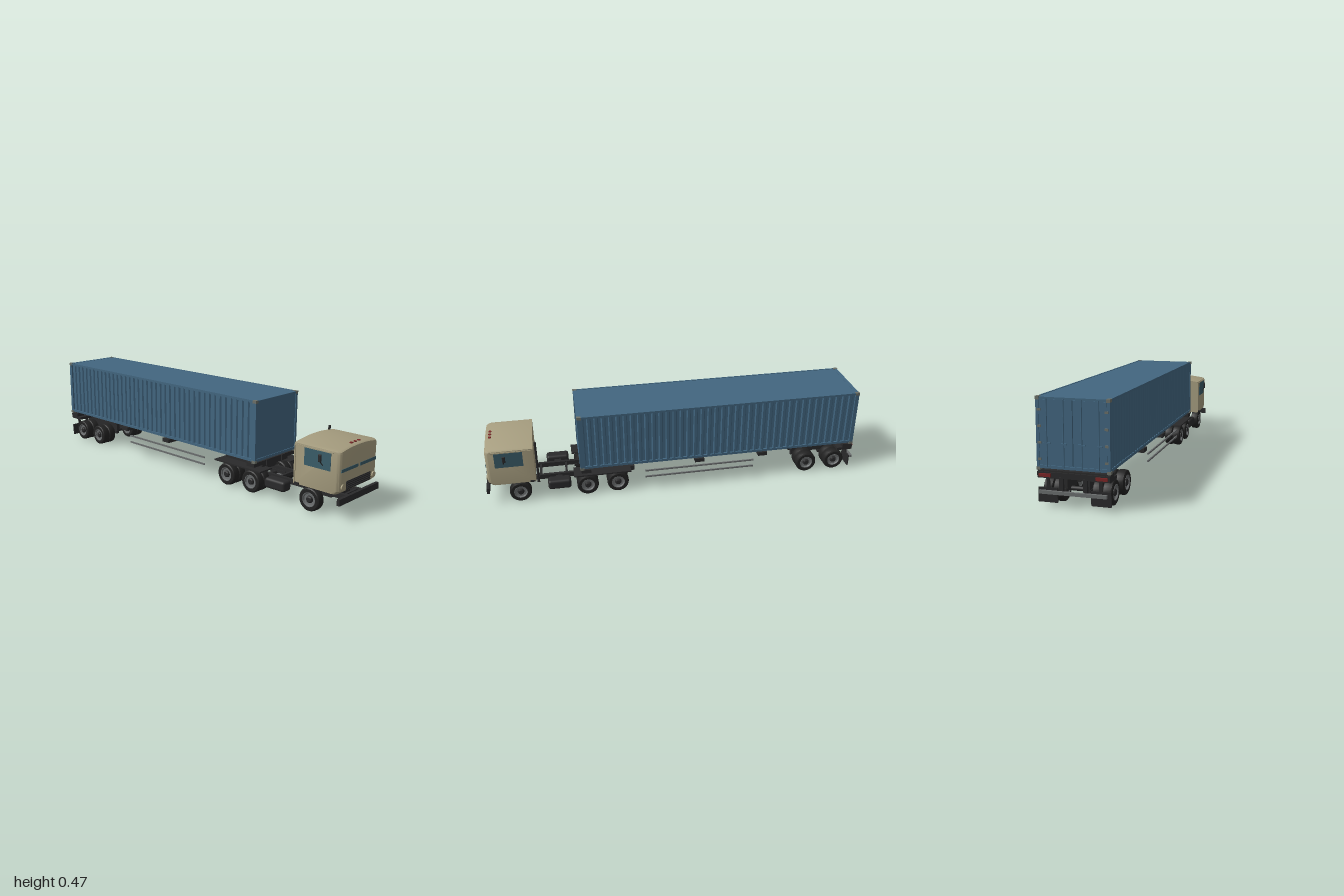
import * as THREE from 'three';
import { toCreasedNormals } from 'three/addons/utils/BufferGeometryUtils.js';
import { RoundedBoxGeometry } from 'three/addons/geometries/RoundedBoxGeometry.js';

export function createModel() {
  const root = new THREE.Group();
  root.name = 'containerTruck';
  const mat = (name, color) => {
    const m = new THREE.MeshStandardMaterial({ color });
    m.name = name;
    return m;
  };
  const blue = mat('containerBlue', 0x426680);
  const cream = mat('cabCream', 0xa69d7f);
  const dark = mat('chassisBlack', 0x2a2a2b);
  const rubber = mat('tyreRubber', 0x222222);
  const steel = mat('rimSteel', 0x6a6d6e);
  const casting = mat('castingGrey', 0x6c7068);
  const glass = mat('glass', 0x3a5c68);
  const red = mat('lampRed', 0x7a2626);

  const group = (name) => {
    const g = new THREE.Group();
    g.name = name;
    root.add(g);
    return g;
  };
  const add = (parent, name, geo, m) => {
    const mesh = new THREE.Mesh(geo, m);
    mesh.name = name;
    parent.add(mesh);
    return mesh;
  };
  // Box given by its extents along x, y and z
  const box = (parent, name, m, x0, x1, y0, y1, z0, z1) => {
    const mesh = add(parent, name, new THREE.BoxGeometry(x1 - x0, y1 - y0, z1 - z0), m);
    mesh.position.set((x0 + x1) / 2, (y0 + y1) / 2, (z0 + z1) / 2);
    return mesh;
  };
  // The same box on both sides
  const pair = (parent, name, m, x0, x1, ...r) => {
    box(parent, name + 'Left', m, x0, x1, ...r);
    box(parent, name + 'Right', m, -x1, -x0, ...r);
  };
  const rod = (parent, name, m, a, b, r, sides = 10) => {
    const path = new THREE.LineCurve3(new THREE.Vector3(...a), new THREE.Vector3(...b));
    const mid = path.getPoint(0.5), dir = path.getTangent(0);
    const mesh = add(parent, name, new THREE.CylinderGeometry(r, r, path.getLength(), sides), m);
    mesh.position.copy(mid);
    mesh.quaternion.setFromUnitVectors(new THREE.Vector3(0, 1, 0), dir);
  };

  // Container: corrugated plan extruded upward
  const container = group('container');
  const ZF = 0.515, ZR = -0.985;
  const side = [];
  const n = 40, step = (ZF - ZR - 0.03) / n;
  for (let i = 0; i < n; i++) {
    const s = -ZF + 0.015 + i * step;
    side.push([0.161, s], [0.161, s + step * 0.35], [0.154, s + step * 0.5], [0.154, s + step * 0.85]);
  }
  const plan = new THREE.Shape([
    ...side.map(([x, s]) => new THREE.Vector2(x, s)),
    ...side.slice().reverse().map(([x, s]) => new THREE.Vector2(-x, s)),
  ]);
  const walls = new THREE.ExtrudeGeometry(plan, { depth: 0.288, bevelEnabled: false });
  walls.rotateX(-Math.PI / 2);
  add(container, 'corrugatedWalls', walls, blue).position.y = 0.172;
  box(container, 'roof', blue, -0.158, 0.158, 0.455, 0.467, ZR + 0.004, ZF - 0.004);
  box(container, 'frontWall', blue, -0.15, 0.15, 0.17, 0.463, ZF - 0.02, ZF - 0.004);
  pair(container, 'topRail', blue, 0.156, 0.163, 0.459, 0.469, ZR, ZF);
  pair(container, 'bottomRail', blue, 0.154, 0.163, 0.165, 0.178, ZR, ZF);
  for (const [end, z0, z1] of [['front', ZF - 0.02, ZF], ['rear', ZR, ZR + 0.02]]) {
    pair(container, end + 'Post', blue, 0.15, 0.163, 0.168, 0.465, z0, z1);
    box(container, end + 'Header', blue, -0.15, 0.15, 0.458, 0.468, z0, z1);
    box(container, end + 'Sill', blue, -0.15, 0.15, 0.165, 0.178, z0, z1);
    for (const y of [0.157, 0.456])
      pair(container, end + 'Casting', casting, 0.148, 0.165, y, y + 0.014, z0 - 0.001, z1 + 0.001);
  }
  // Rear doors with locking rods and hinges
  pair(container, 'door', blue, 0.002, 0.149, 0.179, 0.457, ZR + 0.002, ZR + 0.012);
  for (const x of [-0.115, -0.04, 0.04, 0.115]) {
    rod(container, 'lockRod', blue, [x, 0.172, ZR - 0.001], [x, 0.462, ZR - 0.001], 0.003, 8);
    box(container, 'rodHandle', blue, x - 0.015, x + 0.015, 0.27, 0.276, ZR - 0.004, ZR + 0.002);
  }
  for (const y of [0.2, 0.27, 0.34, 0.41])
    pair(container, 'hinge', casting, 0.141, 0.156, y, y + 0.01, ZR - 0.003, ZR + 0.003);

  // Trailer frame
  const trailer = group('trailer');
  pair(trailer, 'mainBeam', dark, 0.048, 0.07, 0.128, 0.158, ZR + 0.005, ZF);
  for (const z of [0.485, -0.12, -0.47, -0.955])
    box(trailer, 'bolster', dark, -0.162, 0.162, 0.137, 0.157, z - 0.025, z + 0.025);
  for (let z = 0.35; z > -0.9; z -= 0.15)
    box(trailer, 'crossMember', dark, -0.05, 0.05, 0.135, 0.157, z - 0.008, z + 0.008);
  pair(trailer, 'outerRail', dark, 0.085, 0.1, 0.143, 0.157, ZR + 0.01, ZF - 0.01);
  box(trailer, 'kingpinPlate', dark, -0.1, 0.1, 0.125, 0.137, 0.27, 0.51);
  pair(trailer, 'bogieBeam', dark, 0.04, 0.06, 0.075, 0.13, -0.95, -0.67);
  pair(trailer, 'rearWing', dark, 0.065, 0.162, 0.122, 0.137, -0.98, -0.9);
  // Side guards
  for (const y of [0.078, 0.115])
    pair(trailer, 'guardRail', steel, 0.156, 0.163, y - 0.004, y + 0.004, -0.42, 0.175);
  // Rear bumper, flaps and lamps
  box(trailer, 'lampBoard', dark, -0.162, 0.162, 0.125, 0.15, -0.986, -0.975);
  pair(trailer, 'tailLamp', red, 0.1, 0.152, 0.13, 0.144, -0.993, -0.985);
  box(trailer, 'rearBumper', steel, -0.15, 0.15, 0.058, 0.073, -1.0, -0.988);
  pair(trailer, 'bumperStrut', dark, 0.045, 0.062, 0.058, 0.13, -0.989, -0.975);
  pair(trailer, 'mudFlap', dark, 0.075, 0.163, 0.016, 0.08, -0.977, -0.971);
  pair(trailer, 'flapHanger', dark, 0.11, 0.125, 0.08, 0.13, -0.977, -0.971);

  // Tractor chassis
  const tractor = group('tractorChassis');
  pair(tractor, 'frameRail', dark, 0.05, 0.066, 0.067, 0.092, 0.22, 0.985);
  for (const z of [0.23, 0.4, 0.585, 0.72, 0.95])
    box(tractor, 'crossMember', dark, -0.052, 0.052, 0.072, 0.088, z - 0.006, z + 0.006);
  box(tractor, 'engine', dark, -0.045, 0.045, 0.07, 0.125, 0.76, 0.92);
  box(tractor, 'frontBumper', dark, -0.163, 0.163, 0.073, 0.104, 0.985, 1.0);
  box(tractor, 'fifthWheel', dark, -0.065, 0.065, 0.09, 0.125, 0.33, 0.47);
  pair(tractor, 'rearFender', dark, 0.075, 0.164, 0.119, 0.126, 0.25, 0.55);
  for (const s of [-1, 1]) {
    const tank = add(tractor, 'fuelTank', new RoundedBoxGeometry(0.06, 0.052, 0.12, 3, 0.014), dark);
    tank.position.set(s * 0.125, 0.076, 0.627);
    box(tractor, 'tankBracket', dark, s * 0.08 - 0.025, s * 0.08 + 0.025, 0.07, 0.084, 0.61, 0.645);
    // Curved guard above the steering wheel
    const guard = new THREE.CylinderGeometry(0.066, 0.066, 0.045, 16, 1, true, Math.PI * 0.15, Math.PI * 0.7);
    guard.rotateZ(Math.PI / 2);
    const gm = add(tractor, 'frontFender', guard, dark);
    gm.position.set(s * 0.132, 0.057, 0.83);
    gm.visible = false;
  }
  rod(tractor, 'exhaustStack', dark, [0.133, 0.1, 0.733], [0.133, 0.336, 0.733], 0.006, 12);
  box(tractor, 'exhaustBracket', dark, 0.06, 0.135, 0.095, 0.105, 0.727, 0.74);

  // Wheels: tyre, rim and hub turned about the axle
  const lathe = (pts, seg = 28) =>
    toCreasedNormals(new THREE.LatheGeometry(pts.map(([r, y]) => new THREE.Vector2(r, y)), seg), 0.6);
  const tyreGeo = lathe([[0.034, -0.021], [0.05, -0.0215], [0.055, -0.018], [0.057, -0.011],
    [0.057, 0.011], [0.055, 0.018], [0.05, 0.0215], [0.034, 0.021], [0.032, 0.01]]);
  const rimGeo = lathe([[0, -0.016], [0.033, -0.019], [0.035, -0.022], [0.035, 0.022], [0.032, 0.022],
    [0.029, 0.014], [0.018, 0.012], [0, 0.012]]);
  const hubGeo = lathe([[0.018, 0.011], [0.016, 0.019], [0.011, 0.023], [0, 0.023]], 16);
  const wheels = group('wheels');
  const wheel = (x, z) => {
    const w = new THREE.Group();
    w.name = 'wheel';
    add(w, 'tyre', tyreGeo, rubber);
    add(w, 'rim', rimGeo, steel);
    add(w, 'hub', hubGeo, dark);
    w.position.set(x, 0.057, z);
    w.rotation.z = x > 0 ? -Math.PI / 2 : Math.PI / 2;
    wheels.add(w);
  };
  for (const [z, dual] of [[0.83, 0], [0.48, 1], [0.32, 1], [-0.73, 1], [-0.89, 1]]) {
    for (const s of [-1, 1]) {
      wheel(s * 0.133, z);
      if (dual) wheel(s * 0.088, z);
    }
    rod(wheels, 'axle', dark, [-0.13, 0.06, z], [0.13, 0.06, z], 0.01);
    pair(wheels, 'spring', dark, 0.046, 0.062, 0.058, 0.074, z - 0.06, z + 0.06);
  }

  // Cab shell: side profiles lofted across the width, rounded corners and arched roof
  const cab = group('cab');
  const W = 0.158, R = 0.024, ZB = 0.745;
  const slices = [];
  for (let i = 0; i <= 6; i++) {
    const a = Math.PI / 2 * (1 - i / 6);
    slices.push([-(W - R + R * Math.sin(a)), 0.987 - R + R * Math.cos(a)]);
  }
  for (let i = 1; i < 10; i++) slices.push([-(W - R) * (1 - i / 5), 0.987]);
  for (let i = 0; i <= 6; i++) {
    const a = Math.PI / 2 * i / 6;
    slices.push([W - R + R * Math.sin(a), 0.987 - R + R * Math.cos(a)]);
  }
  const pos = [], idx = [], K = 7;
  for (const [x, zf] of slices) {
    const top = 0.314 + 0.015 * (1 - (x / W) ** 2);
    const prof = [[ZB, 0.118], [zf - 0.015, 0.118], [zf, 0.132], [zf, 0.302],
      [zf - 0.003, top - 0.006], [zf - 0.012, top], [ZB, top]];
    for (const [z, y] of prof) pos.push(x, y, z);
  }
  for (let i = 0; i < slices.length - 1; i++)
    for (let k = 0; k < K; k++) {
      const a = i * K + k, b = i * K + (k + 1) % K;
      idx.push(a, a + K, b, b, a + K, b + K);
    }
  const last = (slices.length - 1) * K;
  for (let k = 1; k < K - 1; k++) {
    idx.push(0, k, k + 1);
    idx.push(last, last + k + 1, last + k);
  }
  const shell = new THREE.BufferGeometry();
  shell.setAttribute('position', new THREE.Float32BufferAttribute(pos, 3));
  shell.setIndex(idx);
  add(cab, 'shell', toCreasedNormals(shell, 0.6), cream).material.side = THREE.DoubleSide;
  pair(cab, 'roofGutter', cream, 0.156, 0.162, 0.304, 0.309, ZB, 0.955);
  pair(cab, 'rearEdge', cream, 0.156, 0.162, 0.122, 0.305, ZB, 0.752);
  // Glazing
  pair(cab, 'windscreen', glass, 0.009, 0.141, 0.219, 0.234, 0.983, 0.989);
  pair(cab, 'sideWindow', glass, 0.154, 0.1595, 0.22, 0.302, 0.8, 0.942);
  // Grille with slats and headlamps
  box(cab, 'grille', dark, -0.098, 0.098, 0.131, 0.171, 0.983, 0.99);
  for (const y of [0.138, 0.147, 0.156, 0.165])
    box(cab, 'grilleSlat', dark, -0.094, 0.094, y - 0.002, y + 0.002, 0.989, 0.994);
  for (const s of [-1, 1]) {
    rod(cab, 'headlamp', cream, [s * 0.126, 0.15, 0.98], [s * 0.126, 0.15, 0.993], 0.014, 24);
    // Mirror and its arm
    const mirror = add(cab, 'mirror', new RoundedBoxGeometry(0.009, 0.036, 0.016, 2, 0.004), dark);
    mirror.position.set(s * 0.1735, 0.274, 0.893);
    rod(cab, 'mirrorArm', dark, [s * 0.157, 0.237, 0.9], [s * 0.173, 0.26, 0.893], 0.0025, 6);
    pair(cab, 'step', dark, 0.135, 0.163, 0.119, 0.127, 0.75, 0.775);
  }
  // Roof marker lamps
  for (const x of [-0.03, 0, 0.03])
    rod(cab, 'markerLamp', red, [x, 0.325, 0.96], [x, 0.332, 0.96], 0.008, 12);
  return root;
}
